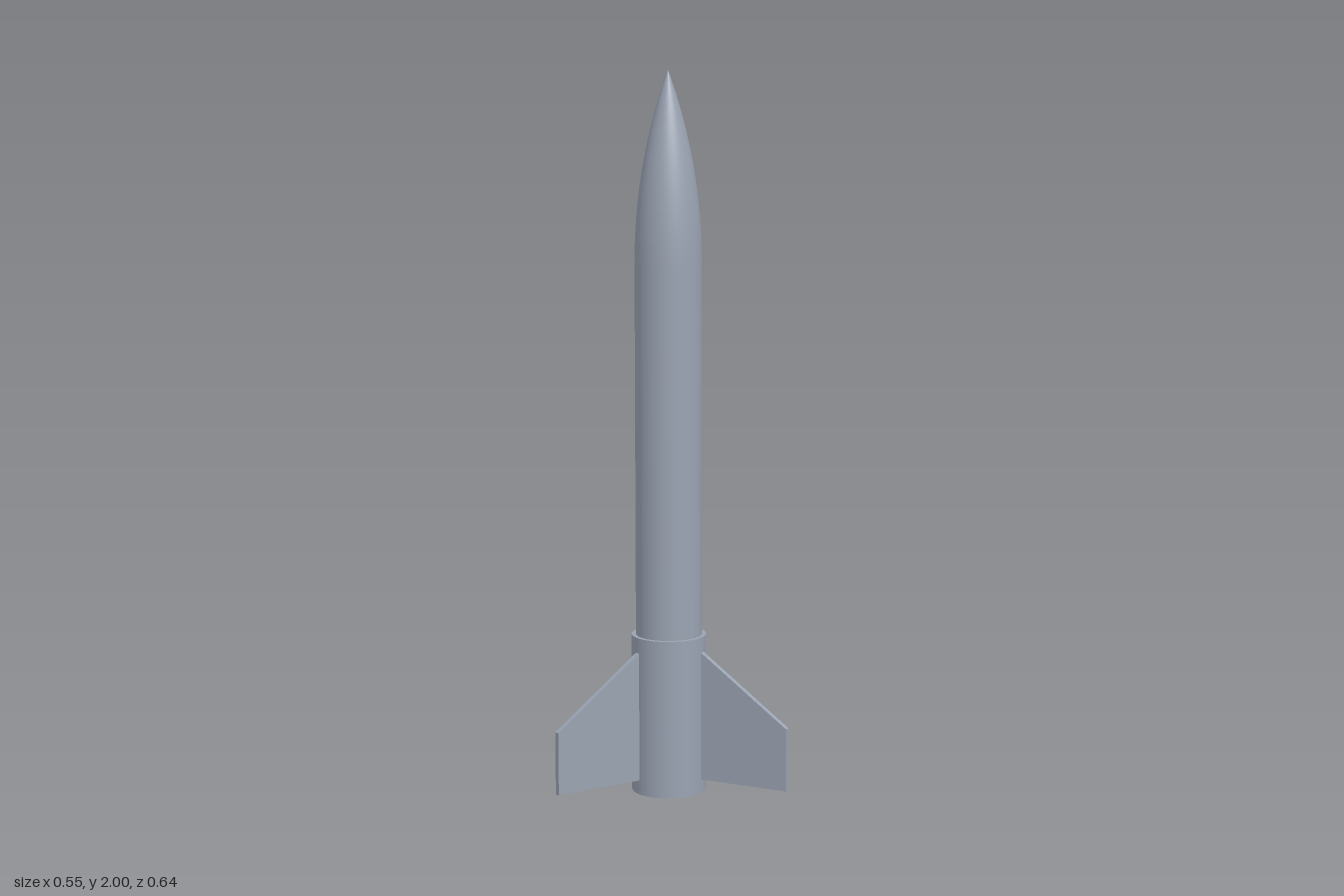
import * as THREE from 'three';

const BODY_R = 0.092, SLEEVE_R = 0.104, BORE_R = 0.085;
const NOSE_Y = 1.48, TOP_Y = 2, SLEEVE_TOP = 0.445;

export function createModel() {
  const grey = new THREE.MeshStandardMaterial({ color: 0x9aa3b2 });
  grey.name = 'rocket grey';

  const rocket = new THREE.Group();
  rocket.name = 'rocket';
  rocket.position.x = -0.088;

  const add = (name, geometry, parent = rocket) => {
    const mesh = new THREE.Mesh(geometry, grey);
    mesh.name = name;
    parent.add(mesh);
    return mesh;
  };

  // Hard-edged tube, open through the middle
  const tube = (inner, outer, y0, y1) => {
    const shape = new THREE.Shape().absarc(0, 0, outer, 0, Math.PI * 2, false);
    shape.holes.push(new THREE.Path().absarc(0, 0, inner, 0, Math.PI * 2, true));
    return new THREE.ExtrudeGeometry(shape, { depth: y1 - y0, bevelEnabled: false, curveSegments: 64 })
      .rotateX(-Math.PI / 2).translate(0, y0, 0);
  };

  add('bodyTube', tube(BORE_R, BODY_R, 0, NOSE_Y));
  add('finSleeve', tube(BODY_R, SLEEVE_R, 0, SLEEVE_TOP));

  // Tangent ogive nose with a closed base
  const length = TOP_Y - NOSE_Y;
  const rho = (BODY_R ** 2 + length ** 2) / (2 * BODY_R);
  const profile = [];
  for (let i = 0; i <= 28; i++) {
    const h = (length * i) / 28;
    const r = Math.sqrt(rho ** 2 - h ** 2) + BODY_R - rho;
    profile.push(new THREE.Vector2(i === 28 ? 0 : r, NOSE_Y + h));
  }
  add('noseCone', new THREE.LatheGeometry(profile, 64));
  add('noseBase', new THREE.CircleGeometry(BODY_R, 64).rotateX(Math.PI / 2).translate(0, NOSE_Y, 0));

  // Three clipped-delta fins, 120 degrees apart
  const thickness = 0.016;
  const finShape = new THREE.Shape([
    [0.093, 0.04], [0.364, 0.04], [0.364, 0.215], [0.093, 0.41],
  ].map(([x, y]) => new THREE.Vector2(x, y)));
  const finGeometry = new THREE.ExtrudeGeometry(finShape, { depth: thickness, bevelEnabled: false })
    .translate(0, 0, -thickness / 2);
  for (let i = 0; i < 3; i++) {
    add(`fin${i + 1}`, finGeometry).rotation.y = (i * Math.PI * 2) / 3;
  }

  const model = new THREE.Group();
  model.name = 'model';
  model.add(rocket);
  return model;
}
